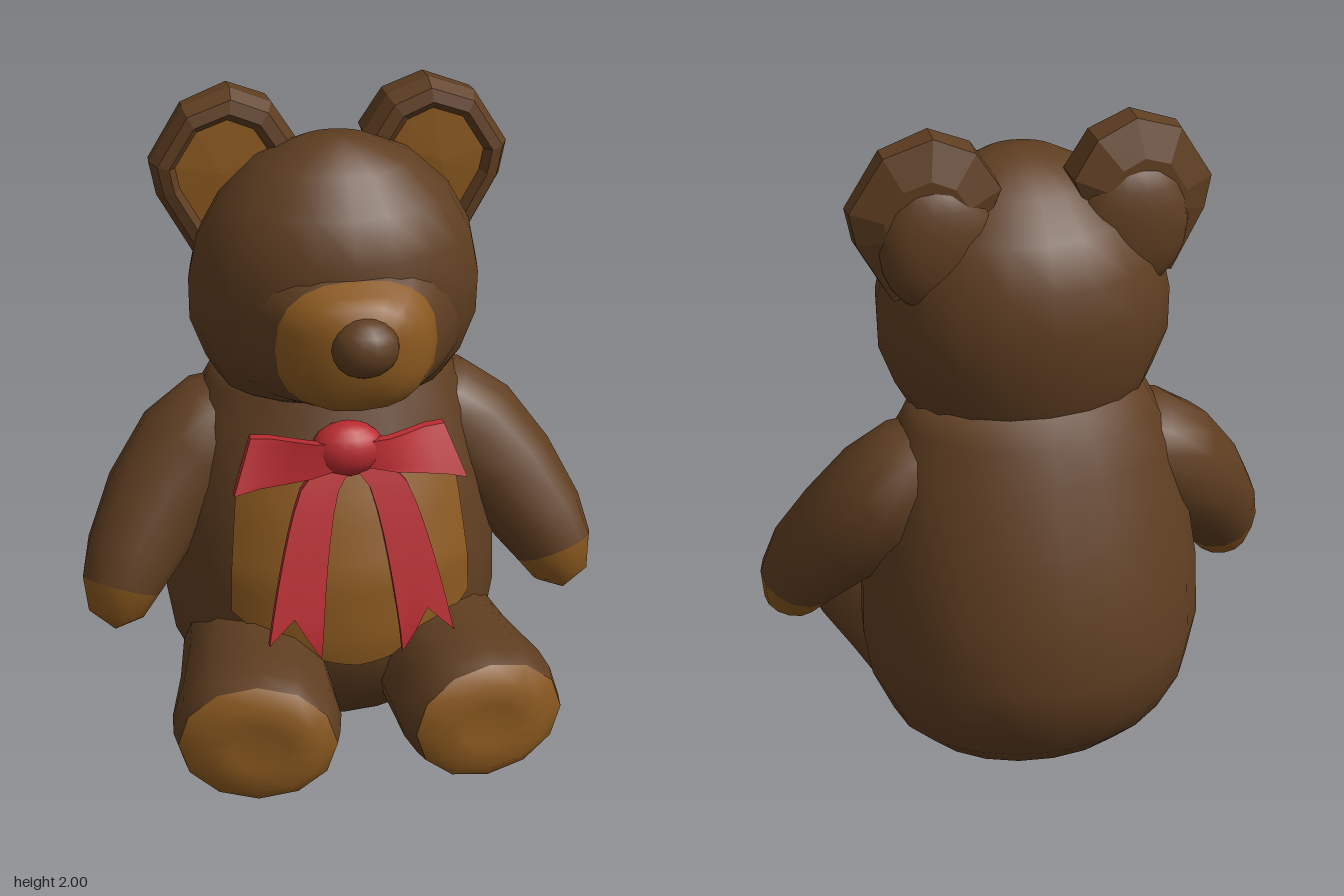
import * as THREE from 'three';
import { mergeVertices } from 'three/addons/utils/BufferGeometryUtils.js';

const material = (name, color, side = THREE.FrontSide) => {
  const m = new THREE.MeshStandardMaterial({ color, side });
  m.name = name;
  return m;
};
const V = (x, y, z) => new THREE.Vector3(x, y, z);
const X = V(1, 0, 0), Y = V(0, 1, 0), Z = V(0, 0, 1);

// Ellipse of points around c; u x v points along the loft; power < 1 squares it off
const ring = (c, u, v, ru, rv, n = 20, power = 1) => Array.from({ length: n }, (_, i) => {
  const a = i / n * Math.PI * 2;
  const bend = t => Math.sign(t) * Math.abs(t) ** power;
  return c.clone().addScaledVector(u, ru * bend(Math.cos(a))).addScaledVector(v, rv * bend(Math.sin(a)));
});

// Skin rings into a smooth or faceted surface
function loft(rings, { closed = true, flat = false } = {}) {
  const n = rings[0].length, index = [];
  const cols = closed ? n : n - 1;
  for (let i = 0; i < rings.length - 1; i++) {
    for (let j = 0; j < cols; j++) {
      const a = i * n + j, b = i * n + (j + 1) % n;
      index.push(a, b, a + n, b, b + n, a + n);
    }
  }
  let geo = new THREE.BufferGeometry().setFromPoints(rings.flat());
  geo.setIndex(index);
  geo = flat ? geo.toNonIndexed() : mergeVertices(geo, 1e-4);
  geo.computeVertexNormals();
  return geo;
}

// Horizontal sections: [y, centre z, half width, half depth]
const BODY = [
  [0.005, -0.18, 0, 0], [0.008, -0.18, 0.2, 0.14], [0.035, -0.16, 0.34, 0.27],
  [0.12, -0.16, 0.43, 0.355], [0.25, -0.145, 0.49, 0.455], [0.4, -0.15, 0.515, 0.48],
  [0.6, -0.145, 0.51, 0.46], [0.8, -0.147, 0.48, 0.397], [1.0, -0.148, 0.435, 0.317],
  [1.1, -0.145, 0.38, 0.275], [1.18, -0.14, 0.34, 0.24], [1.24, -0.14, 0, 0],
];
const HEAD = [
  [1.04, -0.12, 0, 0], [1.06, -0.12, 0.24, 0.18], [1.12, -0.1, 0.34, 0.26],
  [1.2, -0.08, 0.385, 0.305], [1.32, -0.08, 0.43, 0.34], [1.45, -0.075, 0.432, 0.355],
  [1.58, -0.07, 0.405, 0.345], [1.7, -0.065, 0.34, 0.285], [1.8, -0.06, 0.235, 0.19],
  [1.86, -0.04, 0.11, 0.09], [1.875, -0.03, 0, 0],
];
const stack = rows => loft(rows.map(([y, z, rx, rz]) => ring(V(0, y, z), Z, X, rz, rx)));

// Point on the body at height y and angle a from the front, lifted by d
function bodyPoint(a, y, d) {
  const i = BODY.findIndex(r => r[0] > y), p = BODY[i - 1], q = BODY[i];
  const t = (y - p[0]) / (q[0] - p[0]);
  const [z, rx, rz] = [1, 2, 3].map(k => THREE.MathUtils.lerp(p[k], q[k], t));
  return V((rx + d) * Math.sin(a), y, z + (rz + d) * Math.cos(a));
}

// Sections facing forward: [z, x, y, half width, half height], tilted by k in x
const forward = (rows, n, k = 0, power = 1) => rows.map(([z, x, y, rx, ry]) =>
  ring(V(x, y, z), X, Y, rx, ry, n, power).map(p => { p.z -= k * (p.x - x); return p; }));

// Cloth strip: a box whose (u, v) in -0.5..0.5 is bent by a rule
function cloth(rule, s, thick = 0.018) {
  const geo = new THREE.BoxGeometry(1, 1, 1, 4, 8, 1), pos = geo.attributes.position;
  for (let i = 0; i < pos.count; i++) {
    const [x, y, z] = rule(pos.getX(i) * s, pos.getY(i));
    pos.setXYZ(i, x * s, y, z + pos.getZ(i) * thick);
  }
  geo.computeVertexNormals();
  return geo;
}

export function createModel() {
  const bear = new THREE.Group();
  bear.name = 'teddyBear';
  const brown = material('brown fur', 0x5f3e21);
  const tan = material('tan fur', 0x8b591f);
  const red = material('red ribbon', 0xb82b30);
  const tanPatch = material('tan patch', 0x8b591f, THREE.DoubleSide);
  const add = (name, geo, mat) => {
    const mesh = new THREE.Mesh(geo, mat);
    mesh.name = name;
    bear.add(mesh);
    return mesh;
  };
  const ball = (name, mat, position, radii) => {
    const mesh = add(name, new THREE.SphereGeometry(1, 14, 10), mat);
    mesh.position.set(...position);
    mesh.scale.set(...radii);
  };

  add('body', stack(BODY), brown);
  add('head', stack(HEAD), brown);

  // Belly patch follows the body, with a rounded lower edge
  const belly = [];
  for (let i = 0; i <= 14; i++) {
    const row = [];
    for (let j = 0; j <= 20; j++) {
      const t = j / 10 - 1;
      const low = 0.33 + 0.15 * Math.abs(t) ** 1.5, high = 0.98 - 0.1 * t ** 4;
      row.push(bodyPoint(t * 0.77, THREE.MathUtils.lerp(low, high, i / 14), 0.008));
    }
    belly.push(row);
  }
  add('bellyPatch', loft(belly, { closed: false }), tanPatch);

  // Muzzle flares out of the face
  const muzzle = forward([
    [0.06, 0, 1.36, 0.37, 0.27], [0.13, 0, 1.36, 0.335, 0.25], [0.21, 0, 1.355, 0.28, 0.225],
    [0.275, 0, 1.35, 0.235, 0.195], [0.335, 0, 1.345, 0.2, 0.175], [0.375, 0, 1.355, 0.15, 0.145],
    [0.405, 0, 1.37, 0.09, 0.09], [0.415, 0, 1.38, 0, 0],
  ], 20, 0, 0.8);
  add('muzzleBase', loft(muzzle.slice(0, 4)), brown);
  add('muzzle', loft(muzzle.slice(3)), tan);
  ball('nose', brown, [0, 1.39, 0.39], [0.1, 0.088, 0.085]);

  // Ear outline, and its rings from back to front: [z, scale]
  const earOutline = [[0.41, 1.51], [0.51, 1.69], [0.53, 1.79], [0.43, 1.95],
    [0.29, 2.0], [0.17, 1.95], [0.1, 1.84], [0.2, 1.6]];
  const earRings = [[-0.25, 0], [-0.25, 0.55], [-0.21, 0.98], [-0.14, 1],
    [-0.095, 0.9], [-0.085, 0.74], [-0.115, 0.64], [-0.105, 0]];

  for (const s of [1, -1]) {
    const side = s > 0 ? 'left' : 'right';

    // Ear thins toward its outer edge and blends into the head at its root
    const outline = s > 0 ? earOutline : [...earOutline].reverse();
    const ear = earRings.map(([z, k], i) => outline.map(([x, y]) =>
      V(s * (0.325 + (x - 0.325) * k), 1.75 + (y - 1.75) * k, z + (i < 3 ? 0.12 * (x - 0.325) * k : 0))));
    add(side + 'Ear', loft(ear.slice(0, 7), { flat: true }), brown);
    add(side + 'InnerEar', loft(ear.slice(6), { flat: true }), tan);
    ball(side + 'EarRoot', brown, [s * 0.28, 1.68, -0.215], [0.17, 0.2, 0.08]);

    // Arm along a bent path: [x, y, z, radius]
    const path = [[0.1, 1.05, -0.15, 0], [0.18, 1.02, -0.15, 0.11], [0.33, 0.94, -0.15, 0.175],
      [0.43, 0.86, -0.135, 0.185], [0.545, 0.735, -0.08, 0.165], [0.635, 0.6, 0, 0.142],
      [0.675, 0.515, 0.035, 0.12], [0.693, 0.435, 0.058, 0.085], [0.7, 0.385, 0.07, 0]];
    const last = path.length - 1;
    const at = i => V(s * path[i][0], path[i][1], path[i][2]);
    const arm = path.map((p, i) => {
      const w = at(Math.min(i + 1, last)).sub(at(Math.max(i - 1, 0))).normalize();
      const v = Z.clone().addScaledVector(w, -w.z).normalize();
      return ring(at(i), v.clone().cross(w), v, p[3], p[3], 14);
    });
    add(side + 'Arm', loft(arm.slice(0, 7)), brown);
    add(side + 'Paw', loft(arm.slice(6)), tan);

    // Leg and sole, turned slightly outward
    const leg = forward([
      [-0.36, s * 0.2, 0.27, 0, 0], [-0.3, s * 0.21, 0.27, 0.17, 0.17],
      [0, s * 0.265, 0.26, 0.215, 0.212], [0.2, s * 0.295, 0.25, 0.222, 0.207],
      [0.42, s * 0.325, 0.25, 0.245, 0.208], [0.51, s * 0.34, 0.245, 0.24, 0.204],
      [0.56, s * 0.345, 0.238, 0.228, 0.188], [0.6, s * 0.345, 0.235, 0.17, 0.14],
      [0.592, s * 0.345, 0.235, 0.09, 0.07], [0.587, s * 0.345, 0.235, 0, 0],
    ], 12, s * 0.17);
    add(side + 'Leg', loft(leg.slice(0, 7)), brown);
    add(side + 'Sole', loft(leg.slice(6)), tan);

    // Bow wing widens outward and wraps back, its lower edge forward
    add(side + 'BowWing', cloth((u, v) => {
      const t = u + 0.5;
      return [0.05 + 0.27 * t - 0.06 * t * v, 0.98 - 0.035 * t + v * (0.085 + 0.07 * t),
        0.225 - 0.055 * t + 0.012 * Math.sin(t * 6) - 0.06 * t * v];
    }, s, 0.03), red);

    // Ribbon tail hangs over the belly and ends in a notch
    add(side + 'RibbonTail', cloth((u, v) => {
      const t = 0.5 - v;
      const y = 0.95 - t * (0.43 + 0.2 * Math.abs(u) - 0.06 * u);
      return [0.05 + 0.15 * Math.sqrt(t) + u * (0.105 + 0.05 * t), y,
        0.215 + 0.15 * Math.min(1, (0.95 - y) / 0.5) ** 0.9];
    }, s, 0.022), red);
  }

  // Bow knot
  ball('bowKnot', red, [-0.01, 0.985, 0.19], [0.11, 0.085, 0.075]);

  return bear;
}
